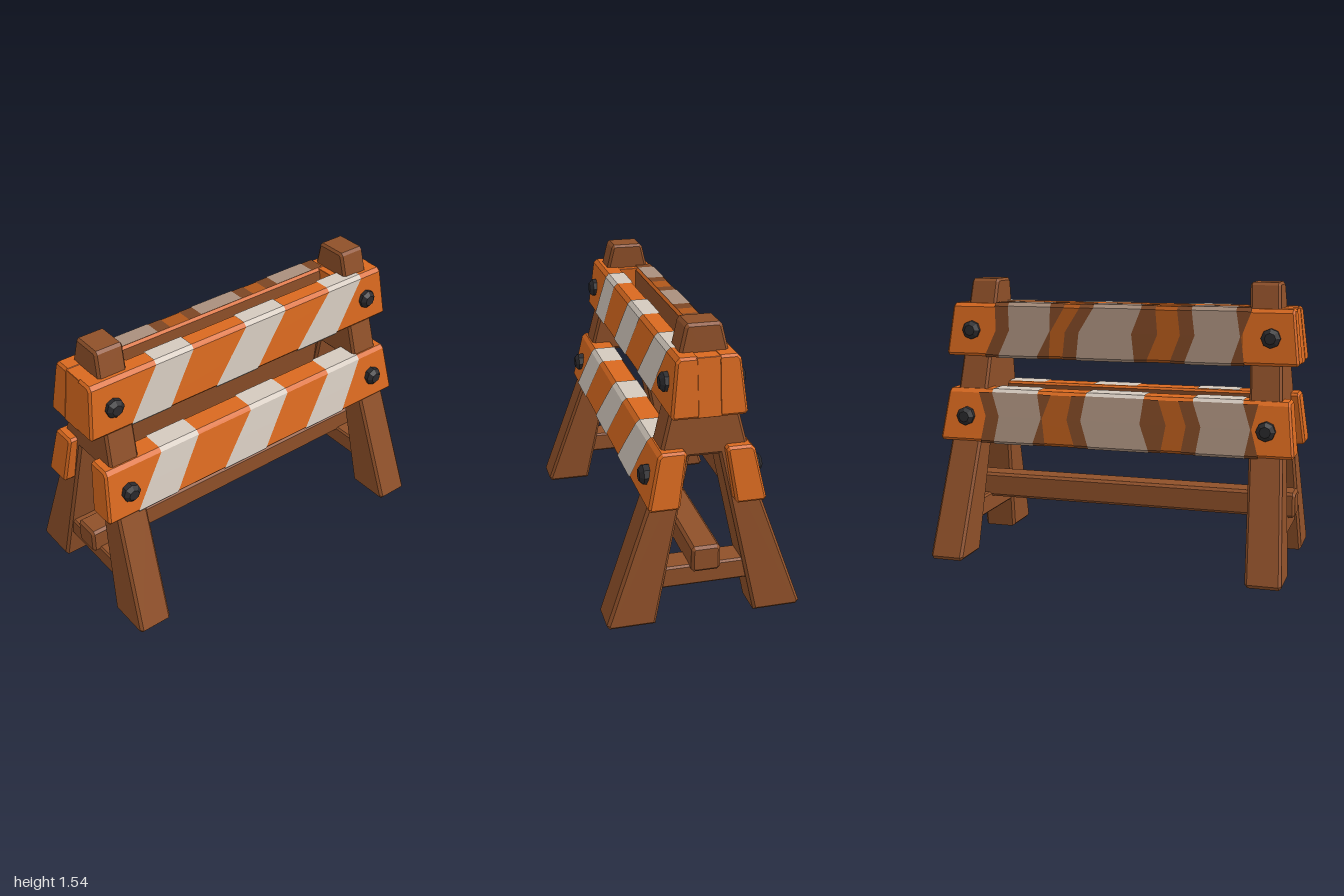
import * as THREE from 'three';

const paint = (name, color) => Object.assign(new THREE.MeshStandardMaterial({ color }), { name });
const orange = paint('bright orange', 0xd9691f);
const darkOrange = paint('worn orange', 0xb0571a);
const white = paint('off white', 0xd4c9be);
const tan = paint('worn white', 0xa98f7d);
const wood = paint('wood', 0x8f5029);
const darkWood = paint('dark wood', 0x7c4624);
const iron = paint('bolt iron', 0x2b2a2d);

// Mesh with flat facets
function facet(geo, mat, name) {
  const g = geo.index ? geo.toNonIndexed() : geo;
  g.computeVertexNormals();
  const mesh = new THREE.Mesh(g, mat);
  mesh.name = name;
  return mesh;
}

// Solid with a [z, y] outline running along x from x0 to x1
function prism(points, x0, x1, bevel) {
  const shape = new THREE.Shape(points.map(([z, y]) => new THREE.Vector2(-z, y)));
  const g = new THREE.ExtrudeGeometry(shape, {
    depth: x1 - x0 - 2 * bevel, bevelEnabled: true, bevelSegments: 1,
    bevelSize: bevel, bevelThickness: bevel, bevelOffset: -bevel,
  });
  return g.rotateY(Math.PI / 2).translate(x0 + bevel, 0, 0);
}

// Move x by a rule of x and y
function bendX(geo, rule) {
  const p = geo.attributes.position;
  for (let i = 0; i < p.count; i++) p.setX(i, rule(p.getX(i), p.getY(i)));
  return geo;
}

// Thin skin along a [z, y] path, between left and right x at each point
function skin(path, left, right, side, mat, name) {
  const pos = [], idx = [];
  path.forEach(([z, y], i) => {
    pos.push(left[i], y, z * side, right[i], y, z * side);
    if (!i) return;
    const a = 2 * i - 2, b = a + 1, c = a + 3, d = a + 2;
    idx.push(...(side > 0 ? [a, b, c, a, c, d] : [a, c, b, a, d, c]));
  });
  const g = new THREE.BufferGeometry();
  g.setAttribute('position', new THREE.Float32BufferAttribute(pos, 3));
  g.setIndex(idx);
  return facet(g, mat, name);
}

// Stripes are [left, right] at the bottom, then [left, right] at the top
const boards = [
  {
    name: 'upper', y0: 1.11, y1: 1.405, out0: 0.19, out1: 0.16, in0: 0.045, in1: 0.045, boltY: 1.255, boltZ: 0.168,
    front: [[-0.76, -0.52, -0.58, -0.35], [-0.23, 0.05, -0.01, 0.26], [0.33, 0.62, 0.57, 0.81]],
    back: [[-0.64, -0.39, -0.66, -0.42], [-0.11, 0.22, -0.14, 0.13], [0.45, 0.68, 0.38, 0.63]],
  },
  {
    name: 'lower', y0: 0.64, y1: 0.93, out0: 0.3, out1: 0.245, in0: 0.14, in1: 0.1, boltY: 0.78, boltZ: 0.27,
    front: [[-0.82, -0.57, -0.63, -0.39], [-0.26, 0.03, -0.04, 0.22], [0.32, 0.6, 0.52, 0.76]],
    back: [[-0.74, -0.48, -0.72, -0.45], [-0.22, 0.12, -0.18, 0.15], [0.44, 0.67, 0.43, 0.7]],
  },
];
const skew = b => (x, y) => x * (1.012 - 0.035 * (y - b.y0) / (b.y1 - b.y0));

function board(b, side) {
  const group = new THREE.Group();
  group.name = b.name + (side > 0 ? 'FrontBoard' : 'BackBoard');
  const P = [
    [b.out0 - 0.012, b.y0], [b.out0, b.y0 + 0.015], [b.out1, b.y1 - 0.02], [b.out1 - 0.02, b.y1],
    [b.in1 + 0.012, b.y1], [b.in1, b.y1 - 0.015], [b.in0, b.y0 + 0.015], [b.in0 + 0.012, b.y0],
  ];
  const body = prism(P.map(([z, y]) => [z * side, y]), -0.988, 0.988, 0.012);
  group.add(facet(bendX(body, skew(b)), orange, 'boardBody'));

  const cz = (b.out0 + b.out1 + b.in0 + b.in1) / 4, cy = (b.y0 + b.y1) / 2;
  const lift = (pts, d) => pts.map(([z, y]) => [z + Math.sign(z - cz) * d, y + Math.sign(y - cy) * d]);
  const mid = [(P[1][0] + P[2][0]) / 2, cy];
  const face = [P[0], P[1], mid, P[2], P[3], P[4]];
  const xs = (bottom, top, wave = 0) => [bottom, bottom, (bottom + top) / 2 + wave, top, top, top];

  // Bare wood on the inner face and underside
  const inner = [P[5], P[6], P[7], P[0]];
  group.add(skin(lift(inner, 0.003), Array(4).fill(-0.78), Array(4).fill(0.78), side, wood, 'innerFace'));

  if (side > 0) {
    b.front.forEach(([l0, r0, l1, r1]) =>
      group.add(skin(lift(face, 0.004), xs(l0, l1), xs(r0, r1), side, white, 'stripe')));
    return group;
  }
  // Worn back: dull ground, brown margins and wavy stripes
  const worn = b.name === 'upper' ? face : face.slice(0, 4);
  group.add(skin(lift(worn, 0.003), xs(-0.7, -0.7), xs(0.7, 0.7), side, darkOrange, 'wornGround'));
  b.back.forEach(([l0, r0, l1, r1], i) => {
    const w = i % 2 ? 0.035 : -0.035;
    group.add(skin(lift(worn, 0.005), xs(l0 - 0.07, l1 - 0.08, -w), xs(r0 + 0.08, r1 + 0.08, w), side, darkWood, 'stripeMargin'));
    group.add(skin(lift(worn, 0.007), xs(l0, l1, w), xs(r0, r1, w), side, tan, 'wornStripe'));
    if (worn !== face) {
      group.add(skin(lift([P[2], P[3], P[4]], 0.004), Array(3).fill(l1), Array(3).fill(r1), side, white, 'topStripe'));
    }
  });
  return group;
}

// Eight-sided bolt head with a sloped rim
function bolt(x, y, z, side) {
  const group = new THREE.Group();
  group.name = 'bolt';
  const collar = new THREE.CylinderGeometry(0.052, 0.052, 0.05, 8).rotateX(Math.PI / 2);
  const cap = new THREE.CylinderGeometry(0.03, 0.052, 0.02, 8).rotateX(Math.PI / 2).translate(0, 0, 0.035);
  group.add(facet(collar, iron, 'boltCollar'), facet(cap, iron, 'boltCap'));
  group.position.set(x, y, z * side);
  if (side < 0) group.rotation.y = Math.PI;
  return group;
}

export function createModel() {
  const model = new THREE.Group();
  model.name = 'barricade';

  // A-shaped end frames leaning slightly inward
  const half = [[0.26, 0], [0.495, 0], [0.51, 0.02], [0.29, 0.64], [0.172, 1.11], [0.122, 1.4], [0.092, 1.525], [0.078, 1.54]];
  const outline = [[0.075, 0.88], ...half, ...half.map(([z, y]) => [-z, y]).reverse(), [-0.075, 0.88]];
  const barEnd = [[-0.24, 0.18], [0.24, 0.18], [0.24, 0.295], [-0.24, 0.295]];
  for (const s of [-1, 1]) {
    const frame = new THREE.Group();
    frame.name = s > 0 ? 'leftEndFrame' : 'rightEndFrame';
    const legs = bendX(prism(outline, -0.095, 0.095, 0.014),
      (x, y) => s * (0.885 - 0.057 * y) + x * (1 - 0.1 * y));
    frame.add(facet(legs, wood, 'legs'));
    frame.add(facet(prism(barEnd, -0.075, 0.075, 0.01).translate(s * 0.868, 0, 0), wood, 'crossBar'));
    model.add(frame);

    // Orange block closing the end between the upper boards
    const u = boards[0];
    const block = [[0.06, u.y0 + 0.002], [0.06, u.y1 - 0.003], [-0.06, u.y1 - 0.003], [-0.06, u.y0 + 0.002]];
    const x0 = s > 0 ? 0.7 : -0.986;
    model.add(facet(bendX(prism(block, x0, x0 + 0.286, 0.002), skew(u)), orange, 'endBlock'));
  }

  // Long stretcher resting on the cross bars
  const rail = [[-0.075, 0.285], [-0.06, 0.27], [0.06, 0.27], [0.075, 0.285], [0.075, 0.395], [0.06, 0.41], [-0.06, 0.41], [-0.075, 0.395]];
  model.add(facet(prism(rail, -0.98, 0.98, 0.014), wood, 'stretcher'));

  // Striped boards and their bolts, front and back
  for (const b of boards) {
    for (const side of [1, -1]) {
      model.add(board(b, side));
      for (const x of [-0.847, 0.847]) model.add(bolt(x, b.boltY, b.boltZ, side));
    }
  }
  return model;
}
